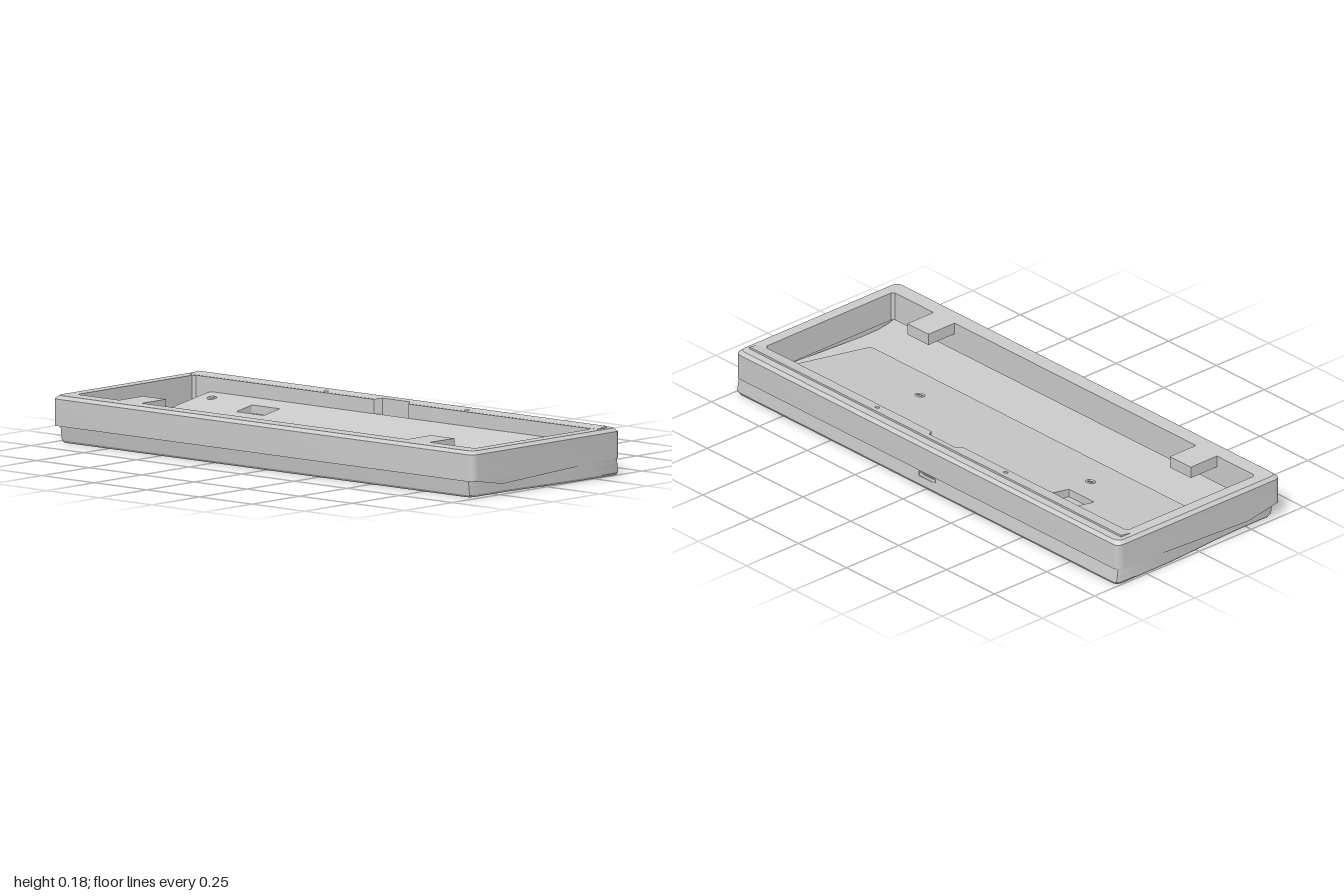
import * as THREE from 'three';
import { toCreasedNormals } from 'three/addons/utils/BufferGeometryUtils.js';

const material = new THREE.MeshStandardMaterial({ color: 0xcccccc });
const lerp = THREE.MathUtils.lerp;

// Plan outlines are drawn in (x, -z), so a slab extruded upward sits in the x-z plane.
function roundRect(x0, x1, z0, z1, r, Type = THREE.Shape) {
  const s = new Type();
  const a = -z1, b = -z0;
  s.moveTo(x0 + r, a).lineTo(x1 - r, a).quadraticCurveTo(x1, a, x1, a + r);
  s.lineTo(x1, b - r).quadraticCurveTo(x1, b, x1 - r, b);
  s.lineTo(x0 + r, b).quadraticCurveTo(x0, b, x0, b - r);
  s.lineTo(x0, a + r).quadraticCurveTo(x0, a, x0 + r, a);
  return s;
}

function polygon(points, Type = THREE.Shape) {
  return new Type(points.map(([x, z]) => new THREE.Vector2(x, -z)));
}

function circle(x, z, r) {
  const p = new THREE.Path();
  p.absarc(x, -z, r, 0, Math.PI * 2, true);
  return p;
}

// Extrudes an outline with holes; rule(p) moves each vertex, p.y running 0..1.
function slab(name, shape, holes, rule, steps = 1) {
  shape.holes.push(...holes);
  let geo = new THREE.ExtrudeGeometry(shape, { depth: 1, steps, bevelEnabled: false, curveSegments: 8 });
  geo.rotateX(-Math.PI / 2);
  const pos = geo.attributes.position;
  const p = new THREE.Vector3();
  for (let i = 0; i < pos.count; i++) {
    rule(p.fromBufferAttribute(pos, i));
    pos.setXYZ(i, p.x, p.y, p.z);
  }
  geo = toCreasedNormals(geo, 0.5);
  return named(name, geo);
}

function named(name, geo) {
  const mesh = new THREE.Mesh(geo, material);
  mesh.name = name;
  return mesh;
}

function box(name, x0, x1, y0, y1, z0, z1) {
  const geo = new THREE.BoxGeometry(x1 - x0, y1 - y0, z1 - z0);
  geo.translate((x0 + x1) / 2, (y0 + y1) / 2, (z0 + z1) / 2);
  return named(name, geo);
}

// Inner opening, with a shallow notch in the back edge
const opening = () => polygon([
  [-0.935, -0.295], [-0.09, -0.295], [-0.072, -0.32], [0.058, -0.32], [0.075, -0.295], [0.935, -0.295],
  [0.945, -0.285], [0.945, 0.31], [0.935, 0.32], [-0.935, 0.32], [-0.945, 0.31], [-0.945, -0.285],
], THREE.Path);

// Lower outline: full width at the back, drawn in by an S-curve toward the front
function lowerOutline() {
  const side = [[0.975, -0.385], [0.99, -0.38], [0.997, -0.365]];
  for (let i = 0; i <= 10; i++) {
    const t = i / 10;
    side.push([0.997 - 0.022 * THREE.MathUtils.smoothstep(t, 0, 1), lerp(-0.2, 0.25, t)]);
  }
  side.push([0.975, 0.36], [0.969, 0.376], [0.955, 0.38]);
  return polygon([...side, ...side.slice().reverse().map(([x, z]) => [-x, z])]);
}

// Ends of the lower case lean, and its bottom edge is chamfered
const lowerRule = (y0, y1) => (p) => {
  const y = lerp(y0, y1, p.y);
  if (Math.abs(p.z) > 0.355 && Math.abs(p.x) < 1) {
    const edge = p.z > 0 ? 0.376 + 0.15 * y : 0.392 - 0.15 * y;
    p.z *= edge / (p.z > 0 ? 0.38 : 0.385);
  }
  if (y < 0.004) {
    p.x *= 0.995;
    p.z *= 0.988;
  }
  p.y = y;
};

export function createModel() {
  const model = new THREE.Group();
  model.name = 'keyboardCase';

  // Upper frame with a chamfered top edge
  const screwX = [-0.335, 0.335];
  const rimHoles = () => screwX.map((x) => circle(x, -0.315, 0.009));
  model.add(slab('upperFrame', roundRect(-1, 1, -0.388, 0.392, 0.03), [opening(), ...rimHoles()], (p) => {
    if (p.y > 0.9 && (Math.abs(p.x) > 0.96 || Math.abs(p.z) > 0.35)) {
      p.x *= 0.988;
      p.z *= 0.968;
    }
    p.y = p.y < 0.1 ? 0.06 : p.y < 0.9 ? 0.156 : 0.168;
  }, 2));

  // Slightly raised, sloping strip along the back rim
  const strip = polygon([
    [-0.97, -0.345], [0.97, -0.345], [0.97, -0.3], [0.075, -0.3], [0.058, -0.32],
    [-0.072, -0.32], [-0.09, -0.3], [-0.97, -0.3],
  ]);
  model.add(slab('backStrip', strip, rimHoles(), (p) => {
    p.y = p.y < 0.5 ? 0.16 : 0.1685 + (-0.3 - p.z) * 0.15;
  }));

  // Side skirts that hang below the frame and taper off toward the back
  for (const s of [-1, 1]) {
    const shape = new THREE.Shape([
      [-0.382, 0.062], [-0.235, 0.037], [0.2, 0.056], [0.24, 0.062],
    ].map(([u, v]) => new THREE.Vector2(u, v)));
    const geo = new THREE.ExtrudeGeometry(shape, { depth: 0.05, bevelEnabled: false });
    geo.rotateY(Math.PI / 2);
    geo.translate(s > 0 ? 0.95 : -1, 0, 0);
    model.add(named(s > 0 ? 'leftSkirt' : 'rightSkirt', geo));
  }

  // Mounting tabs on the front rim
  for (const [name, x0, x1] of [['rightTab', -0.745, -0.635], ['leftTab', 0.625, 0.735]]) {
    model.add(box(name, x0, x1, 0.125, 0.168, 0.195, 0.325));
  }

  // Underside skin with screw holes, foot sockets and a recessed panel
  const screws = [];
  for (const x of [-0.95, -0.335, 0.335, 0.95]) {
    for (const z of [-0.355, 0.345]) screws.push(circle(x, z, 0.011));
  }
  const feet = [];
  for (const x of [-0.905, 0.905]) {
    for (const z of [-0.285, 0.285]) feet.push([x, z]);
  }
  const panel = roundRect(-0.37, 0.37, -0.095, 0.095, 0.02, THREE.Path);
  const footHoles = feet.map(([x, z]) => circle(x, z, 0.028));
  model.add(slab('undersideEdge', lowerOutline(), [...screws, ...footHoles, panel], lowerRule(0, 0.008)));
  model.add(slab('lowerFloor', lowerOutline(), [], lowerRule(0.008, 0.04)));
  model.add(slab('lowerWall', lowerOutline(), [opening()], lowerRule(0.04, 0.061)));

  // Round feet sitting in their sockets
  for (const [x, z] of feet) {
    const geo = new THREE.CylinderGeometry(0.019, 0.019, 0.006, 24);
    geo.translate(x, 0.005, z);
    model.add(named('foot', geo));
  }

  // Sloping inner deck with a pocket and four standoff holes
  const deckY = (z) => 0.045 + (0.14 - z) * 0.165;
  const standoffs = [[-0.805, -0.235], [0.8, -0.235], [-0.45, -0.015], [0.44, -0.015]];
  const pocket = roundRect(-0.6, -0.468, -0.22, -0.135, 0.004, THREE.Path);
  model.add(slab('slopedDeck', roundRect(-0.868, 0.865, -0.297, 0.14, 0.02),
    [pocket, ...standoffs.map(([x, z]) => circle(x, z, 0.016))],
    (p) => { p.y = p.y < 0.5 ? 0.038 : deckY(p.z); }));
  model.add(slab('pocketFloor', roundRect(-0.602, -0.466, -0.222, -0.133, 0.004), [],
    (p) => { p.y = p.y < 0.5 ? 0.038 : deckY(p.z) - 0.03; }));
  for (const [x, z] of standoffs) {
    const geo = new THREE.TorusGeometry(0.014, 0.004, 8, 20);
    geo.rotateX(Math.PI / 2 + Math.atan(0.165));
    geo.translate(x, deckY(z), z);
    model.add(named('standoffRing', geo));
  }

  // Cable port frame in the back wall
  const port = roundRect(-0.045, 0.045, -0.01, 0.01, 0.009);
  port.holes.push(roundRect(-0.04, 0.04, -0.006, 0.006, 0.005, THREE.Path));
  const portGeo = new THREE.ExtrudeGeometry(port, { depth: 0.008, bevelEnabled: false });
  portGeo.translate(0, 0.045, -0.388);
  model.add(named('cablePort', portGeo));

  return model;
}
